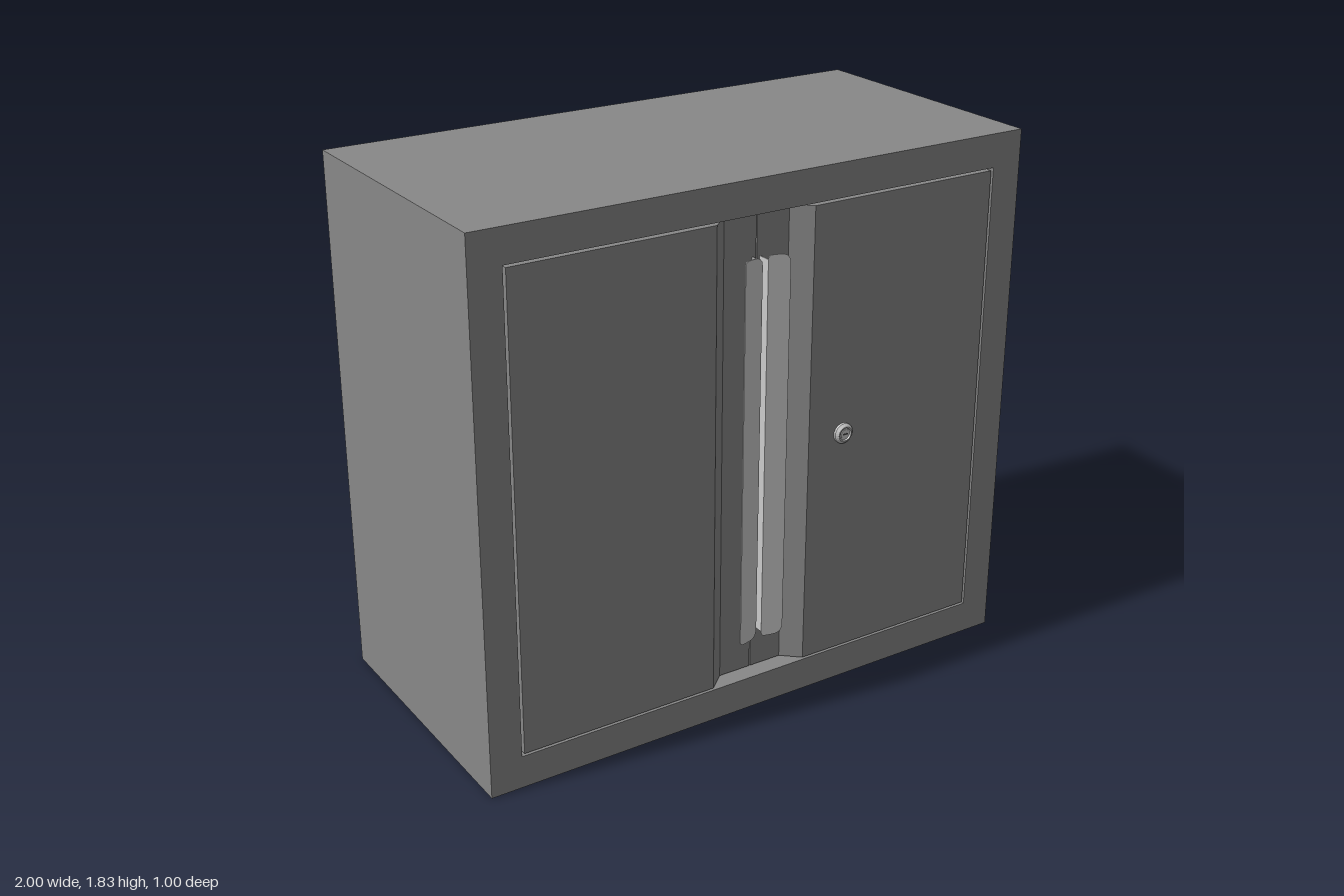
import * as THREE from 'three';

const FRONT = 0.483, FLOOR = 0.43, BACK = 0.40;
const bodyMat = new THREE.MeshStandardMaterial({ color: 0x888888, side: THREE.DoubleSide });
const metalMat = new THREE.MeshStandardMaterial({ color: 0xcccccc, side: THREE.DoubleSide });
const slotMat = new THREE.MeshStandardMaterial({ color: 0x444444 });

function add(parent, name, geometry, material, x = 0, y = 0, z = 0) {
  const mesh = new THREE.Mesh(geometry, material);
  mesh.name = name;
  mesh.position.set(x, y, z);
  parent.add(mesh);
  return mesh;
}

function polygon(points) {
  return new THREE.Shape(points.map(([x, y]) => new THREE.Vector2(x, y)));
}

const extrude = (shape, depth) =>
  new THREE.ExtrudeGeometry(shape, { depth, bevelEnabled: false, curveSegments: 8 });

// Door with a sloped side leading down into the central handle channel
function makeDoor(side) {
  const door = new THREE.Group();
  door.name = side > 0 ? 'leftDoor' : 'rightDoor';
  const profile = [
    [0.002, BACK], [0.002, FLOOR], [0.12, FLOOR],
    [0.18, FRONT], [0.881, FRONT], [0.881, BACK],
  ].map(([x, z]) => [side * x, -z]);
  const panel = add(door, 'doorPanel', extrude(polygon(profile), 1.588), bodyMat, 0, 0.121, 0);
  panel.rotation.x = -Math.PI / 2;

  // Flared grip with rounded corners, tilted outward
  const w = 0.075, h = 1.325, r = 0.035, q = 0.015;
  const s = new THREE.Shape();
  s.moveTo(q, 0);
  s.lineTo(w - r, 0);
  s.quadraticCurveTo(w, 0, w, r);
  s.lineTo(w, h - r);
  s.quadraticCurveTo(w, h, w - r, h);
  s.lineTo(q, h);
  s.quadraticCurveTo(0, h, 0, h - q);
  s.lineTo(0, q);
  s.quadraticCurveTo(0, 0, q, 0);
  const grip = extrude(s, 0.004);
  grip.rotateY(-0.22);
  if (side < 0) grip.rotateY(0.44).translate(-w * Math.cos(0.22), 0, w * Math.sin(0.22));
  add(door, 'handleGrip', grip, metalMat, side * 0.011, 0.255, 0.475);

  // Web joining the grip to the channel floor
  add(door, 'handleWeb', new THREE.BoxGeometry(0.004, h - 2 * q, 0.478 - FLOOR),
    metalMat, side * 0.014, 0.255 + h / 2, (0.478 + FLOOR) / 2);
  return door;
}

// Keyed lock with a bevelled collar, a core and a horizontal slot
function makeLock() {
  const lock = new THREE.Group();
  lock.name = 'lock';
  const profile = [[0.035, -0.005], [0.035, 0.008], [0.026, 0.017], [0.022, 0.017],
    [0.02, 0.012], [0, 0.012]].map(([x, y]) => new THREE.Vector2(x, y));
  const collar = new THREE.LatheGeometry(profile, 24).toNonIndexed();
  collar.computeVertexNormals();
  add(lock, 'lockCollar', collar, metalMat).rotation.x = Math.PI / 2;
  add(lock, 'lockCore', new THREE.CylinderGeometry(0.016, 0.016, 0.006, 20),
    metalMat, 0, 0, 0.012).rotation.x = Math.PI / 2;
  add(lock, 'keySlot', new THREE.BoxGeometry(0.02, 0.005, 0.002), slotMat, 0, 0, 0.0148);
  lock.position.set(0.315, 0.92, FRONT);
  return lock;
}

export function createModel() {
  const cabinet = new THREE.Group();
  cabinet.name = 'cabinet';

  // Carcass and front frame
  add(cabinet, 'carcass', new THREE.BoxGeometry(2, 1.83, BACK + 0.5), bodyMat, 0, 0.915, (BACK - 0.5) / 2);
  const frame = polygon([[-1, 0], [1, 0], [1, 1.83], [-1, 1.83]]);
  frame.holes.push(polygon([[-0.89, 0.113], [-0.89, 1.717], [0.89, 1.717], [0.89, 0.113]]));
  add(cabinet, 'frontFrame', extrude(frame, FRONT - BACK), bodyMat, 0, 0, BACK);

  for (const side of [-1, 1]) cabinet.add(makeDoor(side));
  cabinet.add(makeLock());
  return cabinet;
}
